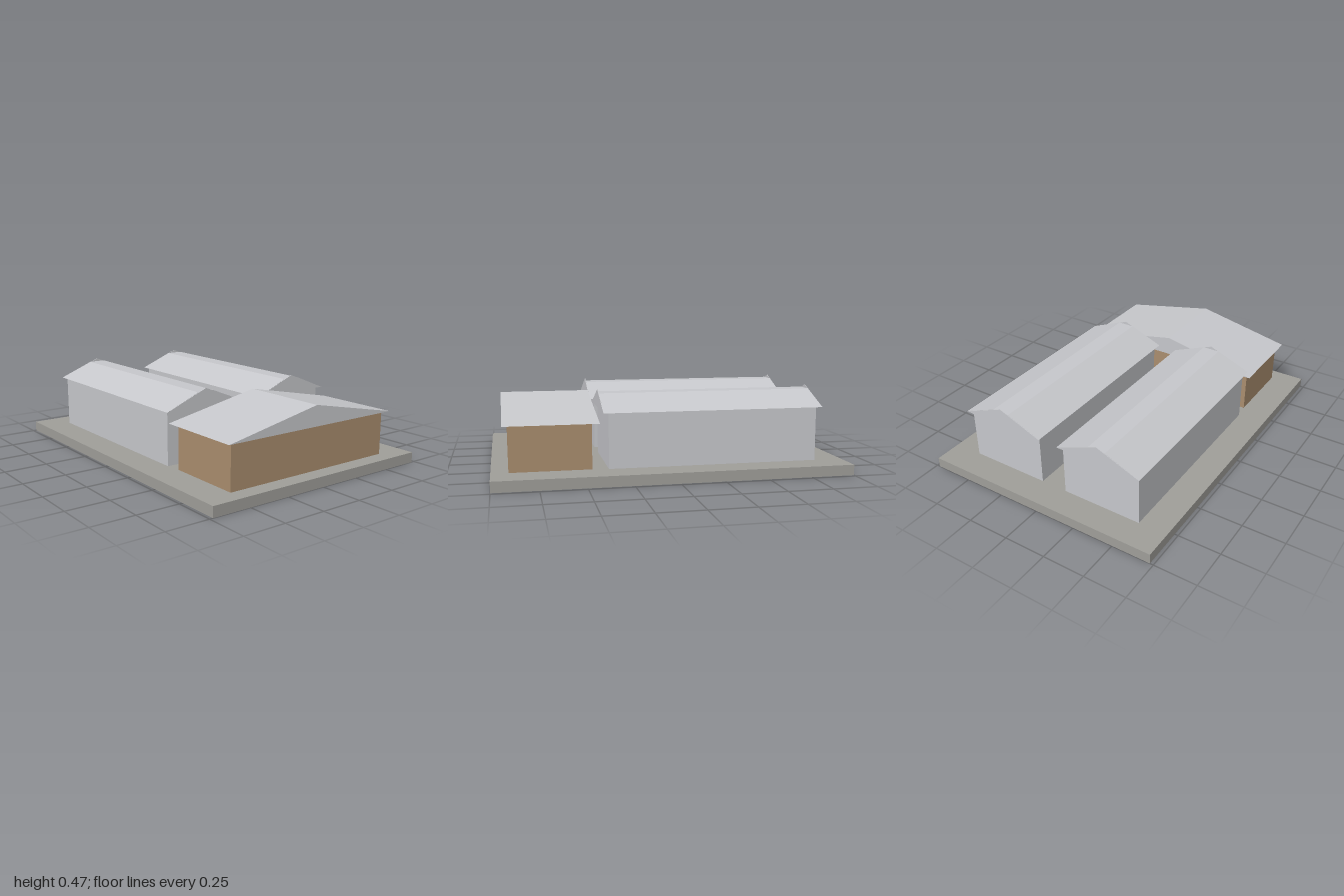
import * as THREE from 'three';

export function createModel() {
  const model = new THREE.Group();
  model.name = 'farmBuildings';
  const material = (name, color) => {
    const m = new THREE.MeshStandardMaterial({ color });
    m.name = name;
    return m;
  };
  const concrete = material('concrete', 0x9f9e99);
  const metal = material('paleMetal', 0xc6c7cb);
  const timber = material('tanTimber', 0xa98d6e);

  const add = (parent, name, geometry, mat) => {
    const mesh = new THREE.Mesh(geometry, mat);
    mesh.name = name;
    parent.add(mesh);
  };
  // Box given by its extents on each axis
  const block = (x0, x1, y0, y1, z0, z1) =>
    new THREE.BoxGeometry(x1 - x0, y1 - y0, z1 - z0)
      .translate((x0 + x1) / 2, (y0 + y1) / 2, (z0 + z1) / 2);
  // Symmetric cross-section in (z, y), extruded from x0 to x1
  const prism = (points, x0, x1) => {
    const shape = new THREE.Shape(points.map(([z, y]) => new THREE.Vector2(z, y)));
    return new THREE.ExtrudeGeometry(shape, { depth: x1 - x0, bevelEnabled: false })
      .rotateY(Math.PI / 2).translate(x0, 0, 0);
  };

  // Ground slab
  add(model, 'baseSlab', block(-1, 1, 0, 0.06, -0.73, 0.73), concrete);

  // Two long sheds with flat-topped ridges and pointed gable ends
  const shedRoof = [[-0.26, 0.37], [0.26, 0.37], [0.052, 0.455], [-0.052, 0.455]];
  const gable = [[-0.26, 0.37], [0.26, 0.37], [0, 0.474]];
  for (const [name, z] of [['frontShed', 0.32], ['backShed', -0.32]]) {
    const shed = new THREE.Group();
    shed.name = name;
    shed.position.z = z;
    add(shed, 'shedWalls', block(-0.835, 0.365, 0.06, 0.37, -0.24, 0.24), metal);
    add(shed, 'shedRoof', prism(shedRoof, -0.862, 0.392), metal);
    add(shed, 'gableEndRight', prism(gable, -0.865, -0.862), metal);
    add(shed, 'gableEndLeft', prism(gable, 0.392, 0.395), metal);
    model.add(shed);
  }

  // Cross building with a low gabled roof
  const hall = new THREE.Group();
  hall.name = 'hall';
  add(hall, 'hallWalls', block(0.455, 0.905, 0.06, 0.317, -0.55, 0.55), timber);
  add(hall, 'hallRoof', prism([[-0.585, 0.316], [0.585, 0.316], [0, 0.433]], 0.415, 0.935), metal);
  model.add(hall);

  return model;
}
